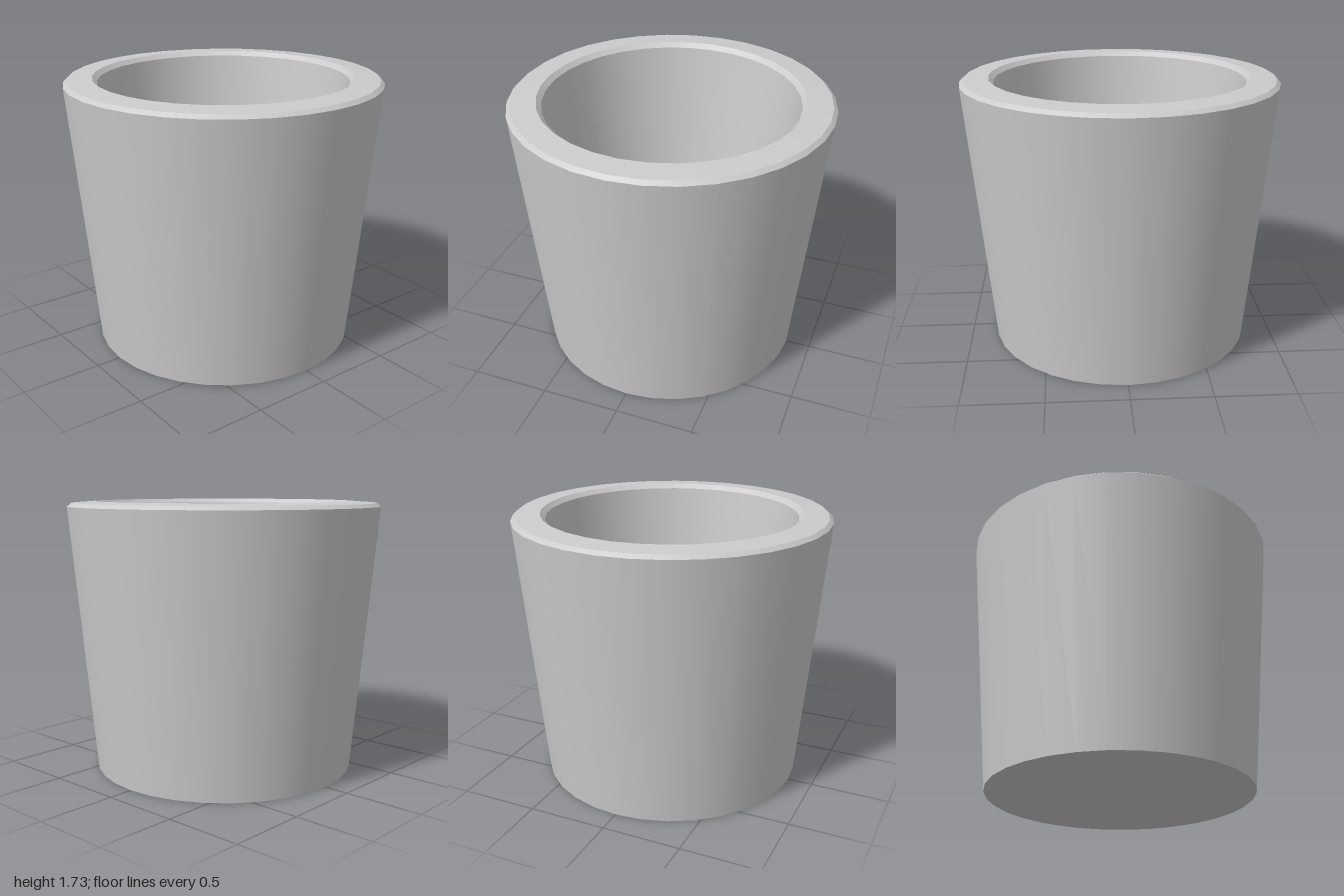
import * as THREE from 'three';

const SIDES = 32;

export function createModel() {
  const pot = new THREE.Group();
  pot.name = 'pot';
  const material = new THREE.MeshStandardMaterial({ color: 0xcccccc });

  // One smooth ring surface between two [radius, height] points; the edges between rings stay sharp
  const addRing = (name, from, to) => {
    const points = [new THREE.Vector2(...from), new THREE.Vector2(...to)];
    const mesh = new THREE.Mesh(new THREE.LatheGeometry(points, SIDES), material);
    mesh.name = name;
    pot.add(mesh);
  };

  // Profile from the centre of the base, up the outside, over the rim and down to the inner floor
  const profile = [
    [0, 0],
    [0.84, 0],
    [1, 1.695],
    [0.975, 1.717],
    [0.82, 1.728],
    [0.79, 1.7],
    [0.61, 0.15],
    [0, 0.15],
  ];
  const names = ['base', 'outerWall', 'outerBevel', 'rim', 'innerBevel', 'innerWall', 'innerFloor'];
  names.forEach((name, i) => addRing(name, profile[i], profile[i + 1]));

  return pot;
}
